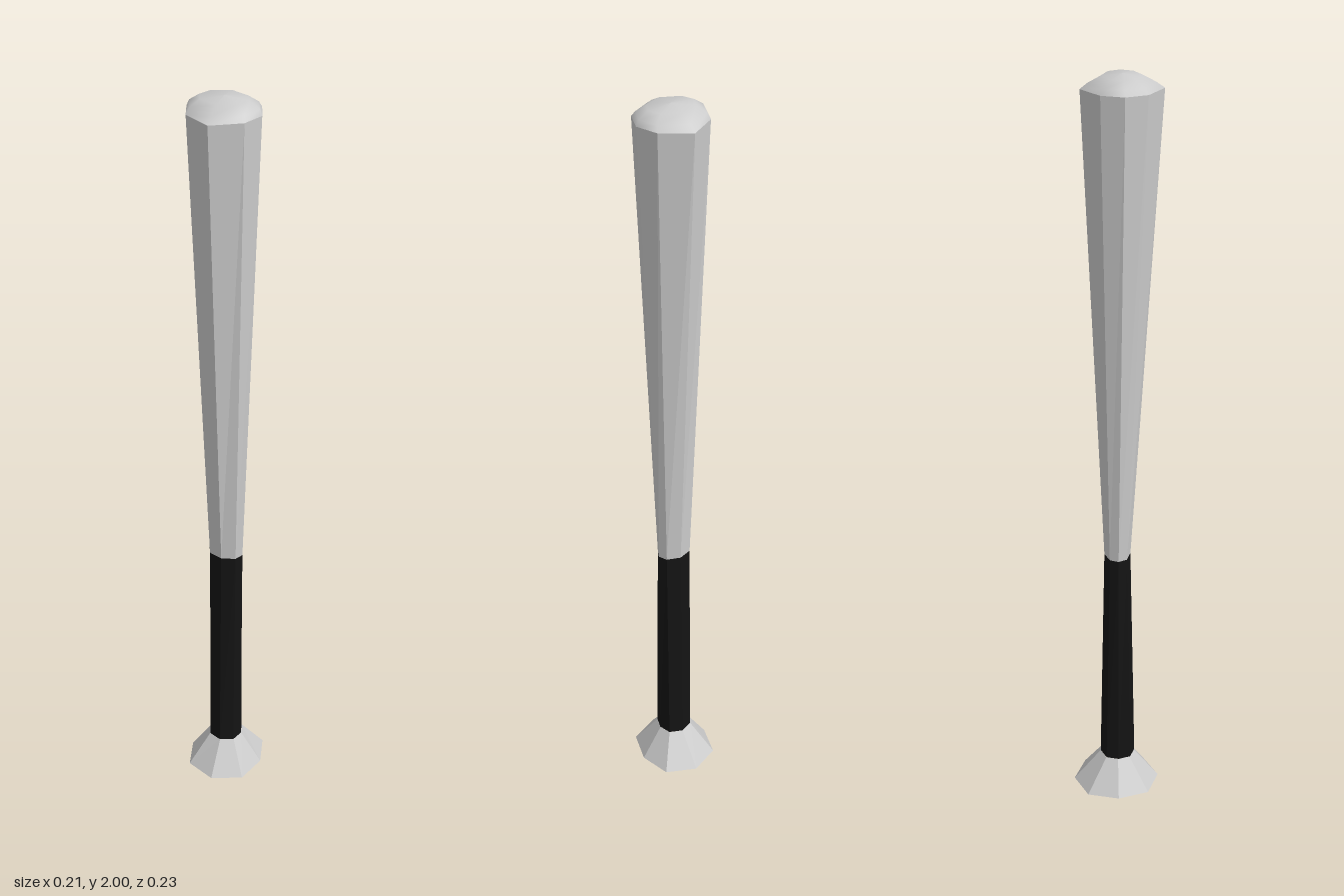
import * as THREE from 'three';

const SIDES = 8;

// Each ring: [y, half width, front z, back z, diagonal z factor]
function loft(name, rings, color, smooth = false) {
  const pos = [];
  const index = [];
  for (const [y, w, front, back, k] of rings) {
    const mid = (front + back) / 2;
    const half = (front - back) / 2;
    const xs = [0, 0.77 * w, w, 0.77 * w, 0, -0.77 * w, -w, -0.77 * w];
    const zs = [1, k, 0, -k, -1, -k, 0, k];
    for (let i = 0; i < SIDES; i++) pos.push(xs[i], y, mid + zs[i] * half);
  }
  for (let r = 0; r < rings.length - 1; r++) {
    for (let i = 0; i < SIDES; i++) {
      const a = r * SIDES + i;
      const b = r * SIDES + (i + 1) % SIDES;
      const c = a + SIDES;
      const d = b + SIDES;
      // Rings of zero width are points, so they need one triangle per side
      if (rings[r][1] > 0) index.push(a, b, d);
      if (rings[r + 1][1] > 0) index.push(a, d, c);
    }
  }
  let geometry = new THREE.BufferGeometry();
  geometry.setAttribute('position', new THREE.Float32BufferAttribute(pos, 3));
  geometry.setIndex(index);
  if (!smooth) geometry = geometry.toNonIndexed();
  geometry.computeVertexNormals();
  const material = new THREE.MeshStandardMaterial({ color, flatShading: !smooth });
  const mesh = new THREE.Mesh(geometry, material);
  mesh.name = name;
  return mesh;
}

export function createModel() {
  const model = new THREE.Group();
  model.name = 'bat';

  // Flared knob with a pointed underside
  model.add(loft('knob', [
    [0, 0, 0, 0, 0.7],
    [0.045, 0.103, 0.114, -0.118, 0.71],
    [0.135, 0.045, 0.045, -0.045, 0.7],
  ], 0xcccccc));

  // Dark wrapped handle
  model.add(loft('grip', [
    [0.135, 0.045, 0.048, -0.045, 0.7],
    [0.755, 0.046, 0.035, -0.033, 0.65],
  ], 0x141414));

  // Widening barrel
  model.add(loft('barrel', [
    [0.755, 0.046, 0.035, -0.033, 0.65],
    [1.965, 0.09, 0.11, -0.086, 0.56],
  ], 0xcccccc));

  // Rounded end cap
  model.add(loft('endCap', [
    [1.965, 0.09, 0.11, -0.086, 0.56],
    [1.979, 0.084, 0.09, -0.068, 0.57],
    [1.995, 0.06, 0.06, -0.038, 0.6],
    [2, 0, 0.011, 0.011, 0.6],
  ], 0xcccccc, true));

  return model;
}
